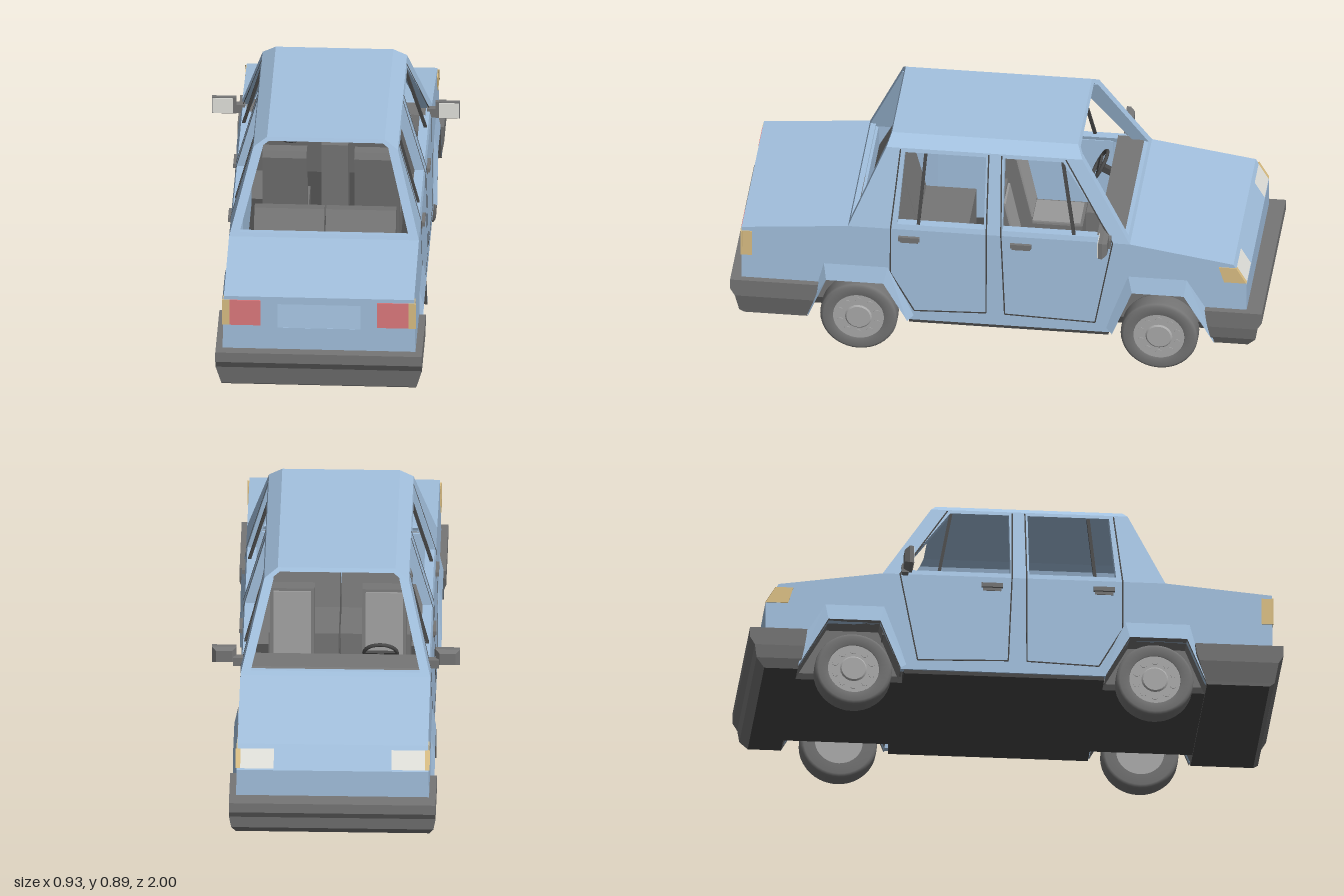
import * as THREE from 'three';

const mat = (name, hex, side = THREE.FrontSide) =>
  new THREE.MeshStandardMaterial({ name, color: hex, side });

export function createModel() {
  const car = new THREE.Group();
  car.name = 'saloonCar';
  const D = THREE.DoubleSide;
  const paint = mat('bluePaint', 0xa4c2e0, D);
  const plastic = mat('greyPlastic', 0x767676, D);
  const black = mat('blackUnderside', 0x484848, D);
  const rubber = mat('tyreRubber', 0x757575);
  const steel = mat('wheelSteel', 0xacacac);
  const red = mat('redLens', 0xe07b7f);
  const amber = mat('amberLens', 0xdcc085, D);
  const lens = mat('clearLens', 0xe4e4de, D);
  const fabric = mat('seatFabric', 0x9a9a9a);

  const add = (name, geo, m, parent = car) => {
    const mesh = new THREE.Mesh(geo, m);
    mesh.name = name;
    parent.add(mesh);
    return mesh;
  };
  // box given by its limits on each axis
  const box = (name, m, x0, x1, y0, y1, z0, z1, parent) => {
    const mesh = add(name, new THREE.BoxGeometry(Math.abs(x1 - x0), y1 - y0, z1 - z0), m, parent);
    mesh.position.set((x0 + x1) / 2, (y0 + y1) / 2, (z0 + z1) / 2);
    return mesh;
  };
  const shapeOf = (pts, holes = []) => {
    const s = new THREE.Shape(pts.map(p => new THREE.Vector2(...p)));
    for (const h of holes) s.holes.push(new THREE.Path(h.map(p => new THREE.Vector2(...p))));
    return s;
  };
  // flat-shaded skin through rows of points
  const skin = rows => {
    const v = [];
    for (let i = 0; i + 1 < rows.length; i++)
      for (let j = 0; j + 1 < rows[i].length; j++) {
        const [a, b, c, d] = [rows[i][j], rows[i][j + 1], rows[i + 1][j + 1], rows[i + 1][j]];
        v.push(...a, ...b, ...c, ...a, ...c, ...d);
      }
    const g = new THREE.BufferGeometry();
    g.setAttribute('position', new THREE.Float32BufferAttribute(v, 3));
    g.computeVertexNormals();
    return g;
  };
  // extrude a shape, then move each vertex by a rule
  const mapped = (shape, depth, rule) => {
    const g = new THREE.ExtrudeGeometry(shape, { depth, bevelEnabled: false });
    const p = g.attributes.position;
    for (let i = 0; i < p.count; i++) p.setXYZ(i, ...rule(p.getX(i), p.getY(i), p.getZ(i)));
    g.computeVertexNormals();
    return g;
  };
  // half width of the car at height y: leaning doors below the belt, cabin above
  const sideX = y => y <= 0.546 ? 0.364 - 0.009 * (y - 0.14) / 0.405 : 0.355 - 0.085 * (y - 0.545) / 0.31;
  const sidePanel = (name, m, s, pts, holes, depth, out = 0) =>
    add(name, mapped(shapeOf(pts, holes), depth, (z, y, d) => [s * (sideX(y) + out - d), y, z]), m);

  const rearZ = y => 0.56 - 0.15 * (y - 0.545) / 0.345;
  const frontZ = y => -0.5 + 0.21 * (y - 0.545) / 0.345;

  // wheel arches as [z, y] lines, from rear to front
  const arches = [
    { outer: [[0.69, 0.22], [0.65, 0.375], [0.41, 0.375], [0.31, 0.17]],
      inner: [[0.71, 0.14], [0.64, 0.31], [0.425, 0.31], [0.335, 0.15]] },
    { outer: [[-0.41, 0.17], [-0.495, 0.405], [-0.715, 0.405], [-0.79, 0.28]],
      inner: [[-0.435, 0.15], [-0.51, 0.34], [-0.705, 0.34], [-0.82, 0.14]] },
  ];
  const lowerSide = [[0.96, 0.2], [0.96, 0.51], [0.56, 0.545], [-0.5, 0.545], [-0.89, 0.485],
    [-0.94, 0.4], [-0.94, 0.2], ...arches[1].inner.slice().reverse(), ...arches[0].inner.slice().reverse()];
  const cabinSide = [[0.56, 0.545], [rearZ(0.855), 0.855], [frontZ(0.855), 0.855], [-0.5, 0.545]];
  const windows = [
    [[0.375, 0.565], [0.05, 0.565], [0.05, 0.84], [0.355, 0.84]],
    [[-0.02, 0.565], [-0.43, 0.565], [-0.24, 0.84], [-0.02, 0.84]],
  ];
  const doorLines = [
    [[0.04, 0.85], [0.04, 0.545], [0.04, 0.2], [0.31, 0.19], [0.4, 0.35], [0.4, 0.545], [0.372, 0.85]],
    [[-0.008, 0.85], [-0.015, 0.545], [-0.03, 0.2], [-0.37, 0.19], [-0.435, 0.545], [-0.25, 0.85]],
  ];

  for (const s of [1, -1]) {
    sidePanel('lowerSidePanel', paint, s, lowerSide, [], 0.025);
    sidePanel('cabinSide', paint, s, cabinSide, windows, 0.035);
    box('doorCard', paint, s * 0.315, s * 0.345, 0.165, 0.55, -0.36, 0.3);

    // arch flares, linings and inner walls
    for (const { outer, inner } of arches) {
      add('archFlare', skin([outer.map(([z, y]) => [s * 0.362, y, z]), inner.map(([z, y]) => [s * 0.377, y, z])]), paint);
      add('archLining', skin([inner.map(([z, y]) => [s * 0.376, y, z]), inner.map(([z, y]) => [s * 0.27, y, z])]), plastic);
      add('archInnerWall', mapped(shapeOf(inner), 0.005, (z, y, d) => [s * (0.27 - d), y, z]), plastic);
    }

    // door gaps
    for (const line of doorLines)
      for (let i = 0; i + 1 < line.length; i++) {
        const [p, q] = [line[i], line[i + 1]].map(([z, y]) => new THREE.Vector3(s * sideX(y), y, z));
        const gap = add('doorGap', new THREE.BoxGeometry(0.002, 0.005, p.distanceTo(q)), black);
        gap.position.copy(p).lerp(q, 0.5);
        gap.up.set(0, 0, Math.abs(q.y - p.y) > 0.1 ? 1 : 0).setY(Math.abs(q.y - p.y) > 0.1 ? 0 : 1);
        gap.lookAt(q);
      }

    // window dividers and door handles
    for (const [zb, zt] of [[0.297, 0.277], [-0.288, -0.237]])
      sidePanel('windowDivider', black, s, [[zb - 0.006, 0.563], [zb + 0.006, 0.563], [zt + 0.006, 0.842], [zt - 0.006, 0.842]], [], 0.012, -0.004);
    for (const z of [0.29, -0.13]) {
      box('doorHandle', plastic, s * 0.35, s * 0.368, 0.5, 0.517, z, z + 0.08);
      box('handleRecess', plastic, s * 0.35, s * 0.359, 0.488, 0.5, z + 0.006, z + 0.074);
    }

    // wing mirrors
    const mirror = new THREE.Group();
    mirror.name = 'wingMirror';
    car.add(mirror);
    const ring = (w, h, z) => [[-w, -h], [-w * 0.9, -h], [w, -h], [w, h], [-w, h], [-w, -h]].map(([x, y]) => [s * 0.418 + x, 0.578 + y, z]);
    add('mirrorHousing', skin([ring(0, 0, -0.393), ring(0.046, 0.034, -0.393), ring(0.046, 0.034, -0.408),
      ring(0.03, 0.024, -0.425), ring(0, 0, -0.425)]), plastic, mirror);
    box('mirrorGlass', lens, s * 0.385, s * 0.461, 0.547, 0.609, -0.394, -0.39, mirror);
    box('mirrorBracket', plastic, s * 0.34, s * 0.385, 0.54, 0.575, -0.43, -0.405, mirror);

    // tail lamps
    box('tailLamp', red, s * 0.218, s * 0.335, 0.39, 0.495, 0.957, 0.964);
    box('rearIndicator', amber, s * 0.335, s * 0.363, 0.39, 0.495, 0.957, 0.964);
    sidePanel('rearSideIndicator', amber, s, [[0.963, 0.39], [0.963, 0.495], [0.92, 0.495], [0.92, 0.39]], [], 0.006, 0.003);
    // head lamps on the sloping nose
    const lampRow = (x0, x1) => skin([[0.471, -0.902], [0.407, -0.9397]].map(([y, z]) => [[s * x0, y, z], [s * x1, y, z]]));
    add('headLamp', lampRow(0.22, 0.345), lens);
    add('frontIndicator', lampRow(0.345, 0.363), amber);
    sidePanel('frontSideIndicator', amber, s, [[-0.835, 0.471], [-0.902, 0.471], [-0.939, 0.407], [-0.855, 0.407]], [], 0.006, 0.003);
  }

  // bonnet, nose and boot lid
  const deck = pts => skin(pts.map(([z, y]) => [[-sideX(y), y, z], [sideX(y), y, z]]));
  add('bonnetAndNose', deck([[-0.5, 0.545], [-0.89, 0.485], [-0.94, 0.4], [-0.94, 0.2]]), paint);
  add('bootLid', deck([[0.56, 0.545], [0.96, 0.51]]), paint);
  const rect = (w, y0, y1) => [[-w, y0], [w, y0], [w, y1], [-w, y1]];
  add('tailPanel', mapped(shapeOf([[-0.362, 0.2], [0.362, 0.2], [0.356, 0.51], [-0.356, 0.51]], [rect(0.155, 0.38, 0.48)]),
    0.015, (x, y, d) => [x, y, 0.96 - d]), paint);
  add('plateRecess', skin([[0.48, 0.946], [0.38, 0.959]].map(([y, z]) => [[-0.155, y, z], [0.155, y, z]])), paint);

  // sloping window frames and roof
  const outerFrame = [[-0.355, 0.545], [0.355, 0.545], [0.27, 0.855], [0.22, 0.89], [-0.22, 0.89], [-0.27, 0.855]];
  const innerFrame = [[-0.334, 0.56], [0.334, 0.56], [0.252, 0.848], [0.213, 0.876], [-0.213, 0.876], [-0.252, 0.848]];
  add('rearWindowFrame', mapped(shapeOf(outerFrame, [innerFrame]), 0.02, (x, y, d) => [x, y, rearZ(y) - d]), paint);
  add('windscreenFrame', mapped(shapeOf(outerFrame, [innerFrame]), 0.02, (x, y, d) => [x, y, frontZ(y) + d]), paint);
  for (const ridge of [outerFrame, innerFrame])
    add('roof', skin([rearZ, frontZ].map(f => ridge.slice(2).map(([x, y]) => [x, y, f(y)]))), paint);

  // bumpers: stacked rectangles [halfWidth, y, outerZ, innerZ]
  const bumper = (name, levels) => {
    const rows = levels.map(([w, y, o, i]) => [[-w, y, i], [-w, y, o], [w, y, o], [w, y, i], [-w, y, i]]);
    const close = r => r.map(() => [0, r[0][1], (r[0][2] + r[1][2]) / 2]);
    add(name, skin([close(rows[0]), ...rows]), plastic);
    add(name + 'Base', skin([rows.at(-1), close(rows.at(-1))]), black);
  };
  bumper('rearBumper', [[0.386, 0.29, 1, 0.67], [0.386, 0.25, 1, 0.675], [0.386, 0.22, 0.982, 0.685], [0.365, 0.145, 0.968, 0.71], [0.362, 0.133, 0.95, 0.715]]);
  bumper('frontBumper', [[0.386, 0.29, -1, -0.785], [0.386, 0.25, -1, -0.79], [0.386, 0.22, -0.982, -0.795], [0.378, 0.17, -0.975, -0.805], [0.362, 0.135, -0.945, -0.82]]);

  // underside and sills
  box('underside', black, -0.272, 0.272, 0.135, 0.16, -0.94, 0.95);
  box('sills', black, -0.358, 0.358, 0.135, 0.168, -0.42, 0.33);

  // wheels
  const tyreProfile = [[0.09, -0.04], [0.132, -0.04], [0.142, -0.034], [0.145, -0.025], [0.145, 0.025],
    [0.142, 0.034], [0.132, 0.04], [0.098, 0.04], [0.094, 0.03]].map(p => new THREE.Vector2(...p));
  for (const s of [1, -1]) for (const z of [0.52, -0.61]) {
    const wheel = new THREE.Group();
    wheel.name = 'wheel';
    wheel.position.set(s * 0.325, 0.145, z);
    wheel.rotation.z = -s * Math.PI / 2;
    car.add(wheel);
    add('tyre', new THREE.LatheGeometry(tyreProfile, 40), rubber, wheel);
    add('rim', new THREE.CylinderGeometry(0.096, 0.096, 0.07, 32), steel, wheel);
    add('hubCap', new THREE.CylinderGeometry(0.045, 0.052, 0.006, 20), steel, wheel).position.y = 0.037;
    for (let i = 0; i < 10; i++) {
      const a = i * Math.PI / 5;
      add('rimStud', new THREE.CylinderGeometry(0.012, 0.012, 0.004, 10), steel, wheel)
        .position.set(0.072 * Math.cos(a), 0.0355, 0.072 * Math.sin(a));
    }
  }

  // seats: [z, y] side outlines extruded across the car
  const slab = (name, m, pts, x0, x1) => add(name, mapped(shapeOf(pts), x1 - x0, (z, y, d) => [x1 - d, y, z]), m);
  for (const x of [-0.172, 0.172]) {
    slab('frontSeatBack', plastic, [[-0.09, 0.27], [0.0, 0.27], [0.045, 0.6], [0.035, 0.625], [-0.01, 0.625]], x - 0.083, x + 0.083);
    slab('frontSeatFacing', fabric, [[-0.081, 0.33], [-0.076, 0.33], [-0.011, 0.615], [-0.02, 0.615]], x - 0.07, x + 0.07);
    box('frontSeatCushion', plastic, x - 0.083, x + 0.083, 0.165, 0.31, -0.27, -0.03);
    box('frontSeatPad', fabric, x - 0.07, x + 0.07, 0.308, 0.316, -0.26, -0.08);
  }
  for (const s of [1, -1]) {
    const [x0, x1] = s > 0 ? [0.003, 0.265] : [-0.265, -0.003];
    slab('rearSeatBack', plastic, [[0.33, 0.3], [0.5, 0.3], [0.515, 0.5], [0.455, 0.612], [0.41, 0.605]], x0, x1);
    box('rearSeatCushion', plastic, x0, x1, 0.165, 0.33, 0.15, 0.4);
  }
  box('rearBulkhead', paint, -0.34, 0.34, 0.32, 0.54, 0.525, 0.535);

  // dashboard, console and steering wheel
  slab('dashboard', plastic, [[-0.5, 0.3], [-0.4, 0.3], [-0.365, 0.5], [-0.375, 0.566], [-0.47, 0.566], [-0.485, 0.548]], -0.335, 0.335);
  box('centreConsole', plastic, -0.05, 0.05, 0.165, 0.47, -0.4, -0.3);
  const steering = new THREE.Group();
  steering.name = 'steeringWheel';
  steering.position.set(-0.165, 0.54, -0.325);
  steering.rotation.x = -0.5;
  car.add(steering);
  add('steeringRim', new THREE.TorusGeometry(0.062, 0.007, 8, 24), black, steering);
  box('steeringSpoke', black, -0.06, 0.06, -0.01, 0.01, -0.005, 0.005, steering);
  box('steeringColumn', black, -0.012, 0.012, -0.012, 0.012, -0.08, 0, steering);

  return car;
}
